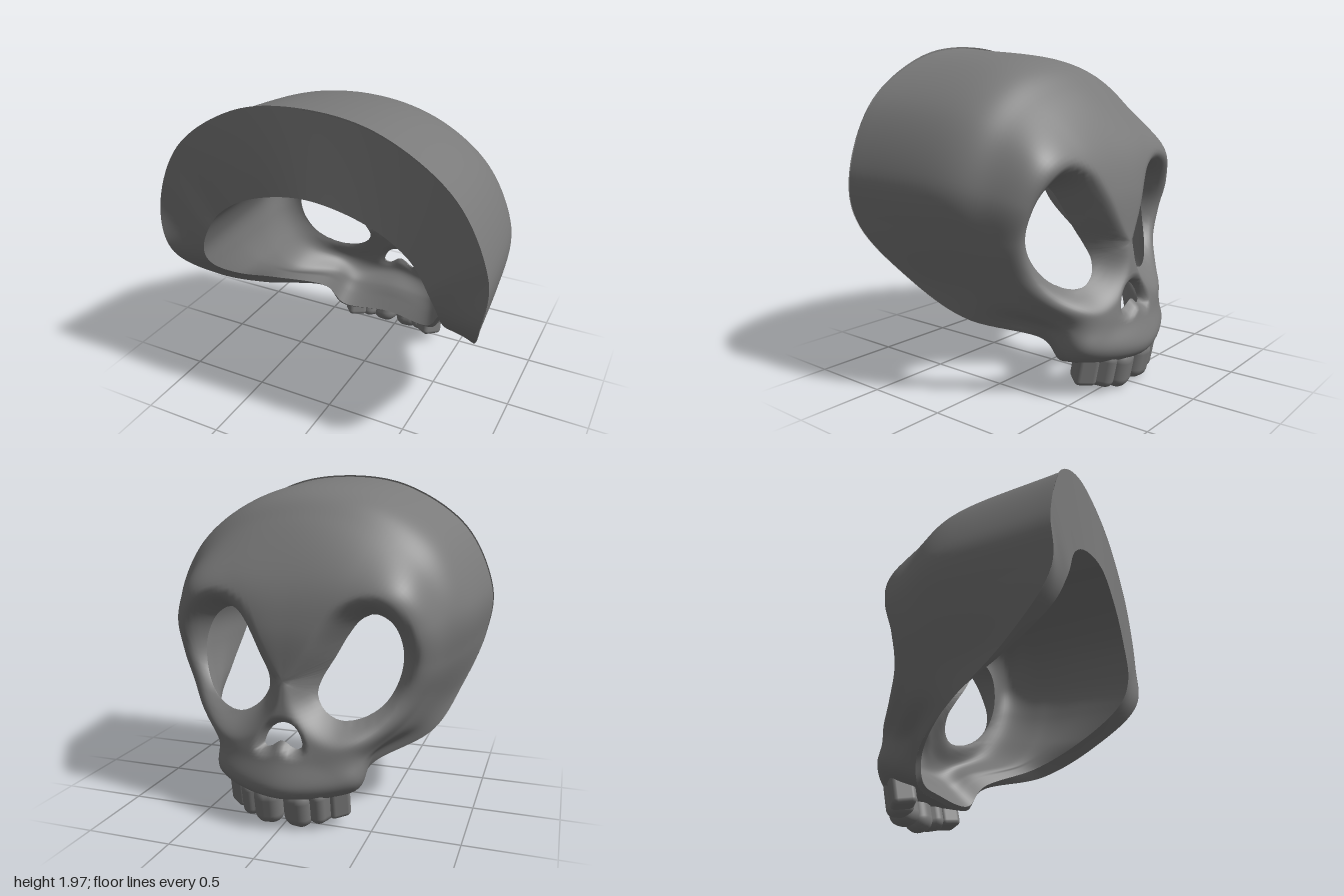
import * as THREE from 'three';
import { mergeVertices } from 'three/addons/utils/BufferGeometryUtils.js';
import { RoundedBoxGeometry } from 'three/addons/geometries/RoundedBoxGeometry.js';

const MAT = new THREE.MeshStandardMaterial({ color: 0x7a7a7a, side: THREE.DoubleSide });
const COLS = 160; // steps around the mask
const SPAN = 10; // steps between two rings

// Half rings from the crown (x = 0) down the left side to the jaw (x = 0)
const rim = [[0, 1.968, 0.68], [0.42, 1.9, 0.68], [0.8, 1.65, 0.68], [0.985, 1.27, 0.675], [0.96, 0.95, 0.655],
  [0.86, 0.67, 0.38], [0.735, 0.455, 0.04], [0.46, 0.335, -0.27], [0.33, 0.17, -0.34], [0, 0.17, -0.4]];
const wall = [[0, 1.892, 0.05], [0.41, 1.82, 0.05], [0.75, 1.59, 0.06], [0.925, 1.24, 0.07], [0.905, 0.95, 0.12],
  [0.81, 0.69, 0.08], [0.69, 0.52, -0.1], [0.47, 0.4, -0.32], [0.39, 0.22, -0.48], [0, 0.18, -0.62]];
const shoulder = [[0, 1.725, -0.215], [0.4, 1.65, -0.215], [0.68, 1.47, -0.215], [0.825, 1.18, -0.2], [0.81, 0.92, -0.17],
  [0.74, 0.73, -0.18], [0.63, 0.57, -0.28], [0.46, 0.43, -0.44], [0.37, 0.3, -0.58], [0, 0.26, -0.695]];
const brow = [[0, 1.42, -0.445], [0.34, 1.4, -0.45], [0.6, 1.32, -0.45], [0.71, 1.12, -0.4], [0.7, 0.92, -0.36],
  [0.64, 0.74, -0.36], [0.55, 0.6, -0.43], [0.4, 0.5, -0.54], [0.23, 0.42, -0.61], [0, 0.42, -0.65]];
const bridge = [[0, 1.15, -0.545], [0.2, 1.14, -0.54], [0.38, 1.1, -0.5], [0.45, 1.0, -0.46], [0.46, 0.9, -0.44],
  [0.42, 0.78, -0.46], [0.35, 0.68, -0.5], [0.24, 0.62, -0.56], [0.13, 0.58, -0.6], [0, 0.6, -0.61]];
const middle = bridge.map(() => [0, 0.85, -0.575]);

// Cavity rings
const mouth = [[0, 1.5, 0.7], [0.34, 1.43, 0.69], [0.58, 1.28, 0.68], [0.71, 1.06, 0.67], [0.74, 0.88, 0.58],
  [0.73, 0.68, 0.33], [0.67, 0.5, 0.02], [0.44, 0.35, -0.25], [0.31, 0.19, -0.32], [0, 0.19, -0.37]];
const deep = [[0, 1.48, 0.08], [0.34, 1.42, 0.08], [0.59, 1.29, 0.05], [0.73, 1.08, 0.05], [0.74, 0.88, 0.05],
  [0.69, 0.69, 0], [0.6, 0.53, -0.12], [0.41, 0.43, -0.34], [0.28, 0.32, -0.44], [0, 0.33, -0.47]];
const halfway = mouth.map((p, k) => p.map((v, c) => (v + deep[k][c]) / 2));
// Bone is thicker at the brow than at the jaw
const { smoothstep } = THREE.MathUtils;
const back = (ring) => ring.map(([x, y, z]) =>
  [x, y, z + 0.08 + 0.12 * smoothstep(y, 0.4, 1.2) + 0.11 * smoothstep(y, 1.12, 1.45)]);

// Openings: the innermost edge of each socket
const outline = (pts) => new THREE.CatmullRomCurve3(pts.map((p) => new THREE.Vector3(...p)), true).getPoints(240);
const eye = [[0.45, 1.2, -0.26], [0.55, 1.14, -0.25], [0.61, 1.0, -0.26], [0.6, 0.85, -0.29], [0.53, 0.71, -0.35],
  [0.42, 0.635, -0.41], [0.3, 0.62, -0.45], [0.2, 0.67, -0.44], [0.15, 0.75, -0.4], [0.165, 0.83, -0.36],
  [0.23, 0.95, -0.32], [0.3, 1.08, -0.29], [0.37, 1.17, -0.27]];
const nose = [[0, 0.605, -0.54], [0.06, 0.585, -0.54], [0.1, 0.53, -0.55], [0.11, 0.475, -0.56], [0.08, 0.465, -0.57],
  [0, 0.51, -0.58], [-0.08, 0.465, -0.57], [-0.11, 0.475, -0.56], [-0.1, 0.53, -0.55], [-0.06, 0.585, -0.54]];
const holes = [
  { pts: outline(eye), lip: 0.14 },
  { pts: outline(eye.map(([x, y, z]) => [-x, y, z])), lip: 0.14 },
  { pts: outline(nose), lip: 0.05 },
];

function nearest(pts, p) {
  let best = pts[0], d = Infinity, inside = false;
  for (let i = 0, j = pts.length - 1; i < pts.length; j = i++) {
    const a = pts[i], b = pts[j], e = Math.hypot(a.x - p.x, a.y - p.y);
    if (e < d) { d = e; best = a; }
    if ((a.y > p.y) !== (b.y > p.y) && p.x < ((b.x - a.x) * (p.y - a.y)) / (b.y - a.y) + a.x) inside = !inside;
  }
  return { best, d, inside };
}

// Mirrors each half ring to a loop, then runs a smooth profile through the loops
function surface(rings) {
  const loops = rings.map((r) => {
    const mirrored = r.slice(1, -1).reverse().map(([x, y, z]) => [-x, y, z]);
    return new THREE.CatmullRomCurve3([...r, ...mirrored].map((p) => new THREE.Vector3(...p)), true, 'catmullrom', 0.5);
  });
  const rows = (rings.length - 1) * SPAN;
  return Array.from({ length: COLS }, (_, i) =>
    new THREE.CatmullRomCurve3(loops.map((l) => l.getPoint(i / COLS)), false, 'catmullrom', 0.5).getPoints(rows));
}

function skin(name, grid, flip, skip = () => false) {
  const rows = grid[0].length, index = [];
  for (let i = 0; i < COLS; i++) for (let j = 0; j < rows - 1; j++) {
    const n = (i + 1) % COLS;
    if (skip(i, j) && skip(n, j) && skip(i, j + 1) && skip(n, j + 1)) continue;
    const a = i * rows + j, b = n * rows + j;
    if (flip) index.push(a, b + 1, b, a, a + 1, b + 1);
    else index.push(a, b, b + 1, a, b + 1, a + 1);
  }
  let geo = new THREE.BufferGeometry().setFromPoints(grid.flat());
  geo.setIndex(index);
  geo = mergeVertices(geo, 1e-4);
  geo.computeVertexNormals();
  const mesh = new THREE.Mesh(geo, MAT);
  mesh.name = name;
  return mesh;
}

export function createModel() {
  const group = new THREE.Group();
  group.name = 'skullMask';

  const outer = surface([rim, wall, shoulder, brow, bridge, middle]);
  const inner = surface([mouth, halfway, deep, back(brow), back(bridge), back(middle)]);

  // Cut eye sockets and nose, curling the outer skin in to meet the inner one
  const open = outer.map((col, i) => col.map((p, j) => {
    if (j < SPAN * 2) return false;
    const q = inner[i][j];
    const near = holes.map((h) => ({ ...nearest(h.pts, p), lip: h.lip }));
    const hit = near.find((n) => n.inside);
    if (hit) {
      p.copy(hit.best);
      q.copy(hit.best);
      return true;
    }
    for (const { best, d, lip } of near) {
      if (d >= lip) continue;
      const t = (1 - d / lip) ** 2;
      p.z += (best.z - p.z) * t;
      q.z += (best.z - q.z) * t;
    }
    return false;
  }));
  const skip = (i, j) => open[i][j];
  group.add(skin('outerSkull', outer, false, skip));
  group.add(skin('innerCavity', inner, true, skip));

  // Flat band joining the two skins at the back
  group.add(skin('backRim', surface([rim, mouth]), true));

  // Upper teeth along the jaw arch: x, y, z, width, height, depth, turn, corner radius
  const teeth = [
    [0.09, 0.125, -0.555, 0.17, 0.24, 0.16, 0.15, 0.07],
    [0.2, 0.145, -0.525, 0.14, 0.22, 0.15, 0.5, 0.05],
    [0.285, 0.155, -0.46, 0.14, 0.19, 0.13, 0.9, 0.03],
  ];
  for (const side of [1, -1]) for (const [x, y, z, w, h, d, turn, r] of teeth) {
    const tooth = new THREE.Mesh(new RoundedBoxGeometry(w, h, d, 5, r), MAT);
    tooth.position.set(side * x, y, z);
    tooth.rotation.set(-0.2, side * turn, 0);
    tooth.name = 'tooth';
    group.add(tooth);
  }
  return group;
}
